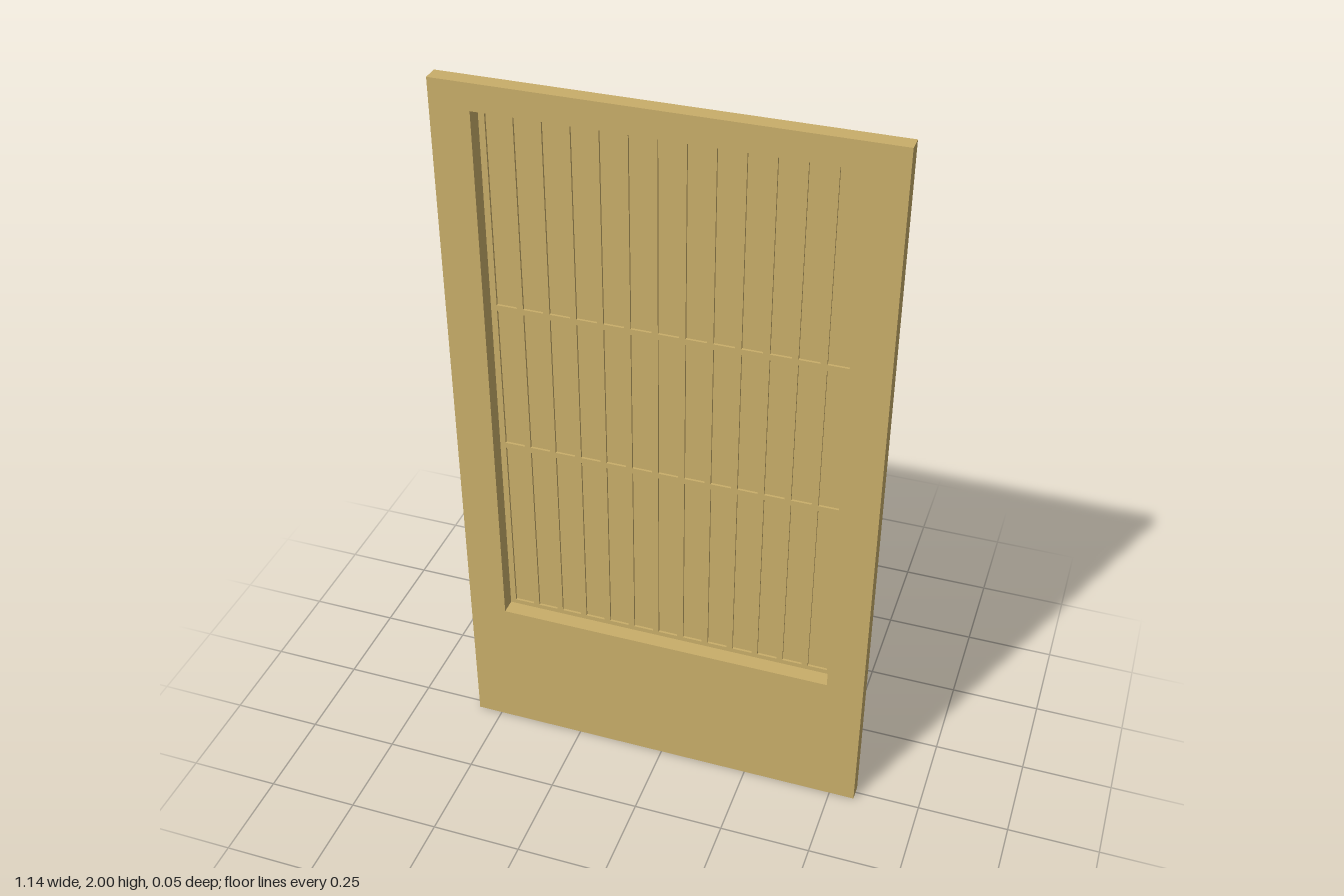
import * as THREE from 'three';
import { mergeGeometries } from 'three/addons/utils/BufferGeometryUtils.js';

// Depth levels of the pressed sheet
const FRONT = 0.025, FLOOR = -0.0185, BACK = -0.025;

const OUTER = { x0: -0.57, x1: 0.57, y0: 0, y1: 2 };
const RECESS = { x0: -0.466, x1: 0.47, y0: 0.405, y1: 1.93 };

const COLUMNS = 13, PITCH = 0.0712, CELL_WIDTH = 0.0545, FIRST_X = -0.45;
const ROWS = [[0.418, 0.948], [0.964, 1.372], [1.388, 1.917]];

function trace(path, r) {
  path.moveTo(r.x0, r.y0);
  path.lineTo(r.x1, r.y0);
  path.lineTo(r.x1, r.y1);
  path.lineTo(r.x0, r.y1);
  path.closePath();
  return path;
}

// Flat rectangular sheet facing +z, with rectangular openings
function sheet(rect, holes, z) {
  const shape = trace(new THREE.Shape(), rect);
  shape.holes = holes.map((h) => trace(new THREE.Path(), h));
  return new THREE.ShapeGeometry(shape).translate(0, 0, z);
}

// Four straight walls around a rectangle, from z0 to z1
function walls(r, z0, z1) {
  const w = r.x1 - r.x0, h = r.y1 - r.y0, d = Math.abs(z1 - z0);
  const cx = (r.x0 + r.x1) / 2, cy = (r.y0 + r.y1) / 2, cz = (z0 + z1) / 2;
  const sides = [];
  for (const s of [-1, 1]) {
    sides.push(new THREE.PlaneGeometry(d, h).rotateY(s * Math.PI / 2).translate(cx + s * w / 2, cy, cz));
    sides.push(new THREE.PlaneGeometry(w, d).rotateX(-s * Math.PI / 2).translate(cx, cy + s * h / 2, cz));
  }
  return mergeGeometries(sides);
}

export function createModel() {
  const group = new THREE.Group();
  group.name = 'pressedPanel';
  const material = new THREE.MeshStandardMaterial({ color: 0xc9ae6a, side: THREE.DoubleSide });
  const add = (name, geometry) => {
    const mesh = new THREE.Mesh(geometry, material);
    mesh.name = name;
    group.add(mesh);
  };

  // Grid of pressed cells
  const cells = [];
  for (const [y0, y1] of ROWS) {
    for (let i = 0; i < COLUMNS; i++) {
      const x0 = FIRST_X + i * PITCH;
      cells.push({ x0, x1: x0 + CELL_WIDTH, y0, y1 });
    }
  }

  // Front face and its rim, open at the back
  add('frontFace', sheet(OUTER, [RECESS], FRONT));
  add('outerRim', walls(OUTER, FLOOR, FRONT));

  // Large recess with a floor of thin bars
  add('recessWalls', walls(RECESS, FLOOR, FRONT));
  add('recessBars', sheet(RECESS, cells, FLOOR));

  // Shallow cells pressed further back
  add('cellWalls', mergeGeometries(cells.map((c) => walls(c, BACK, FLOOR))));
  add('cellPanels', mergeGeometries(cells.map((c) => sheet(c, [], BACK))));

  return group;
}
